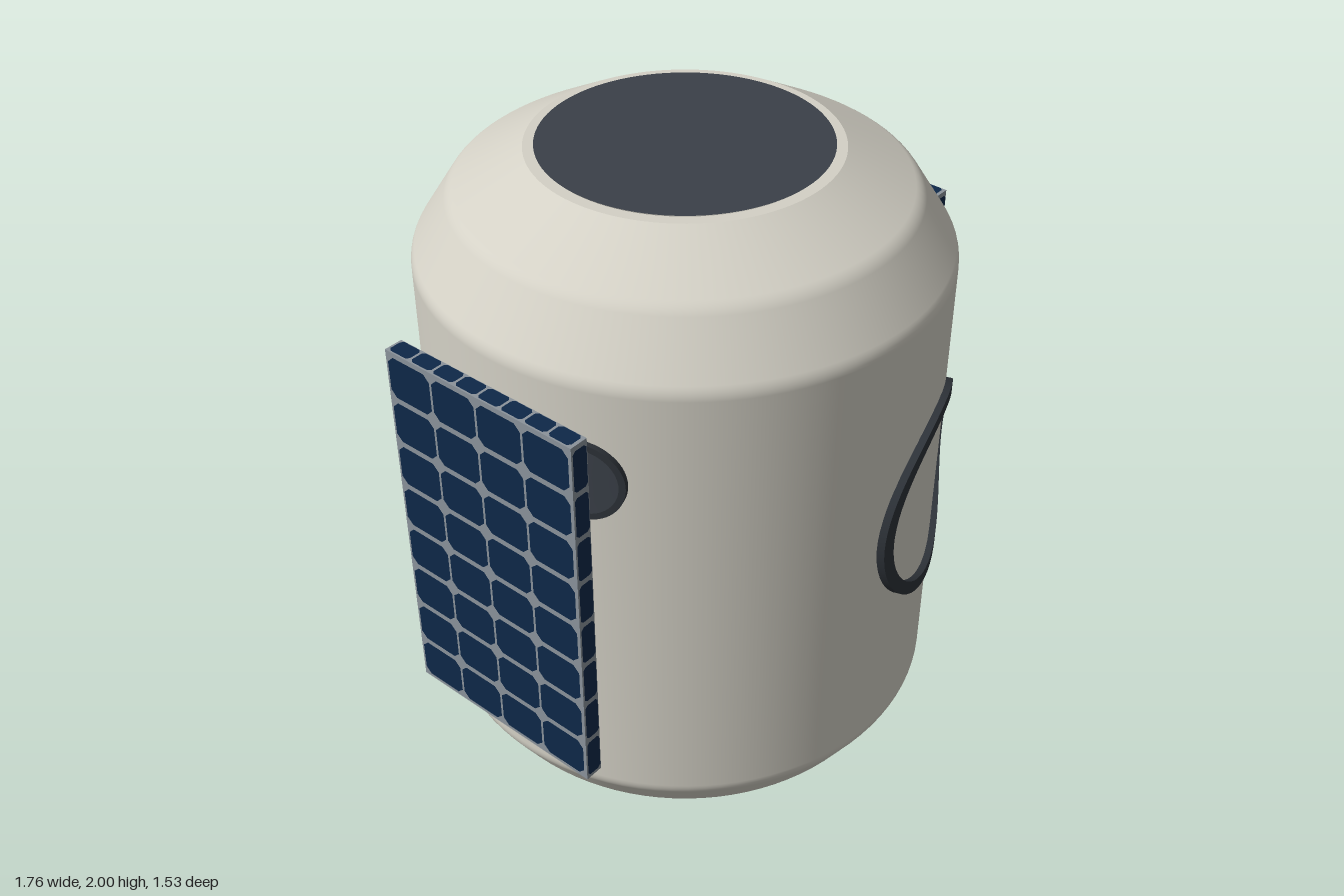
import * as THREE from 'three';
import { mergeGeometries, toCreasedNormals } from 'three/addons/utils/BufferGeometryUtils.js';

const R = 0.765; // hull radius

const mat = (name, color, side = THREE.FrontSide) => {
  const m = new THREE.MeshStandardMaterial({ color, side });
  m.name = name;
  return m;
};

const mesh = (name, geometry, material) => {
  const m = new THREE.Mesh(geometry, material);
  m.name = name;
  return m;
};

// Lathe profile with every inner corner softened by a short curve
function softProfile(corners, radius) {
  const pts = corners.map(([x, y]) => new THREE.Vector2(x, y));
  const out = [pts[0]];
  for (let i = 1; i < pts.length - 1; i++) {
    const toward = (q) => pts[i].clone().add(q.clone().sub(pts[i]).setLength(radius));
    const curve = new THREE.QuadraticBezierCurve(toward(pts[i - 1]), pts[i], toward(pts[i + 1]));
    out.push(...curve.getPoints(5));
  }
  out.push(pts[pts.length - 1]);
  return out;
}

// Round plate or ring bent over the hull; profile is [radius, height above hull]
function wrapped(profile) {
  const g = new THREE.LatheGeometry(profile.map(([r, h]) => new THREE.Vector2(r, h)), 64);
  g.rotateX(Math.PI / 2);
  const p = g.attributes.position;
  for (let i = 0; i < p.count; i++) {
    const x = p.getX(i);
    p.setZ(i, Math.sqrt((R + p.getZ(i)) ** 2 - x * x));
  }
  return toCreasedNormals(g, 0.7);
}

const ring = (ri, ro, t) => wrapped([[ro, -0.01], [ro, t], [ri, t], [ri, -0.01]]);

// Grid of chamfered cells filling a w by h rectangle
function cellGrid(w, h, cols, rows) {
  const cw = w / cols, ch = h / rows;
  const a = cw / 2 - 0.004, b = ch / 2 - Math.min(0.009, ch * 0.06);
  const c = Math.min(0.02, cw * 0.15, ch * 0.15);
  const shape = new THREE.Shape([
    [-a + c, -b], [a - c, -b], [a, -b + c], [a, b - c],
    [a - c, b], [-a + c, b], [-a, b - c], [-a, -b + c],
  ].map(([x, y]) => new THREE.Vector2(x, y)));
  const cells = [];
  for (let i = 0; i < cols; i++)
    for (let j = 0; j < rows; j++)
      cells.push(new THREE.ShapeGeometry(shape).translate((i + 0.5) * cw - w / 2, (j + 0.5) * ch - h / 2, 0));
  return mergeGeometries(cells);
}

// Solar panel facing +z, with cells on all six faces
function solarPanel(gridMat, cellMat) {
  const W = 0.67, H = 1.2, T = 0.058, e = 0.002;
  const panel = new THREE.Group();
  panel.add(mesh('panelFrame', new THREE.BoxGeometry(W, H, T), gridMat));
  const faces = [];
  for (const s of [0, 1]) {
    faces.push(cellGrid(W - 0.01, H - 0.01, 4, 8).translate(0, 0, T / 2 + e).rotateY(s * Math.PI));
    faces.push(cellGrid(T, H - 0.01, 1, 8).translate(0, 0, W / 2 + e).rotateY(Math.PI / 2 + s * Math.PI));
    faces.push(cellGrid(W - 0.01, T, 8, 1).translate(0, 0, H / 2 + e).rotateX(-Math.PI / 2 + s * Math.PI));
  }
  panel.add(mesh('solarCells', mergeGeometries(faces), cellMat));
  return panel;
}

export function createModel() {
  const hullMat = mat('hull beige', 0xd4d1c6, THREE.DoubleSide);
  const hatchMat = mat('hatch charcoal', 0x3a4048, THREE.DoubleSide);
  const frameMat = mat('frame dark grey', 0x2d3238);
  const gridMat = mat('panel grid grey', 0x8b939b);
  const cellMat = mat('solar cell navy', 0x0e2848);
  const consoleMat = mat('console grey', 0x858680);

  const model = new THREE.Group();
  model.name = 'habitatModule';

  // Hollow hull, open at the bottom
  const profile = softProfile([
    [0.43, 0], [0.685, 0.12], [R, 0.25], [R, 1.7], [0.65, 1.88], [0.44, 1.995],
  ], 0.022);
  model.add(mesh('hull', new THREE.LatheGeometry(profile, 96), hullMat));

  // Top rim and hatch
  const rim = new THREE.RingGeometry(0.405, 0.44, 96).rotateX(-Math.PI / 2).translate(0, 1.995, 0);
  model.add(mesh('topRim', rim, hullMat));
  const hatch = new THREE.CircleGeometry(0.41, 96).rotateX(-Math.PI / 2).translate(0, 2, 0);
  model.add(mesh('topHatch', hatch, hatchMat));

  // Parts set around the hull by azimuth, measured from +z toward +x
  const place = (name, deg, y, r, ...parts) => {
    const g = new THREE.Group();
    g.name = name;
    g.rotation.y = THREE.MathUtils.degToRad(deg);
    for (const p of parts) {
      p.position.set(0, y, r);
      g.add(p);
    }
    model.add(g);
  };

  place('doorway', 54, 1.005, 0, mesh('doorRing', ring(0.285, 0.325, 0.02), frameMat));

  const disc = wrapped([[0.108, -0.01], [0.108, 0.012], [0.07, 0.012], [0.035, 0.012], [0, 0.012]]);
  place('porthole', -36, 1.403, 0,
    mesh('portholeRing', ring(0.104, 0.123, 0.016), frameMat),
    mesh('portholePane', disc, hatchMat));

  place('leftSolarPanel', 124.3, 1.005, 0.807, solarPanel(gridMat, cellMat));
  place('rightSolarPanel', -55.7, 1.005, 0.807, solarPanel(gridMat, cellMat));

  // Console on the inner wall
  const screen = mesh('consoleScreen', new THREE.BoxGeometry(0.28, 0.2, 0.16), frameMat);
  place('console', -36, 0.66, 0.62,
    mesh('consoleBody', new THREE.BoxGeometry(0.37, 0.3, 0.15), consoleMat), screen);

  return model;
}
